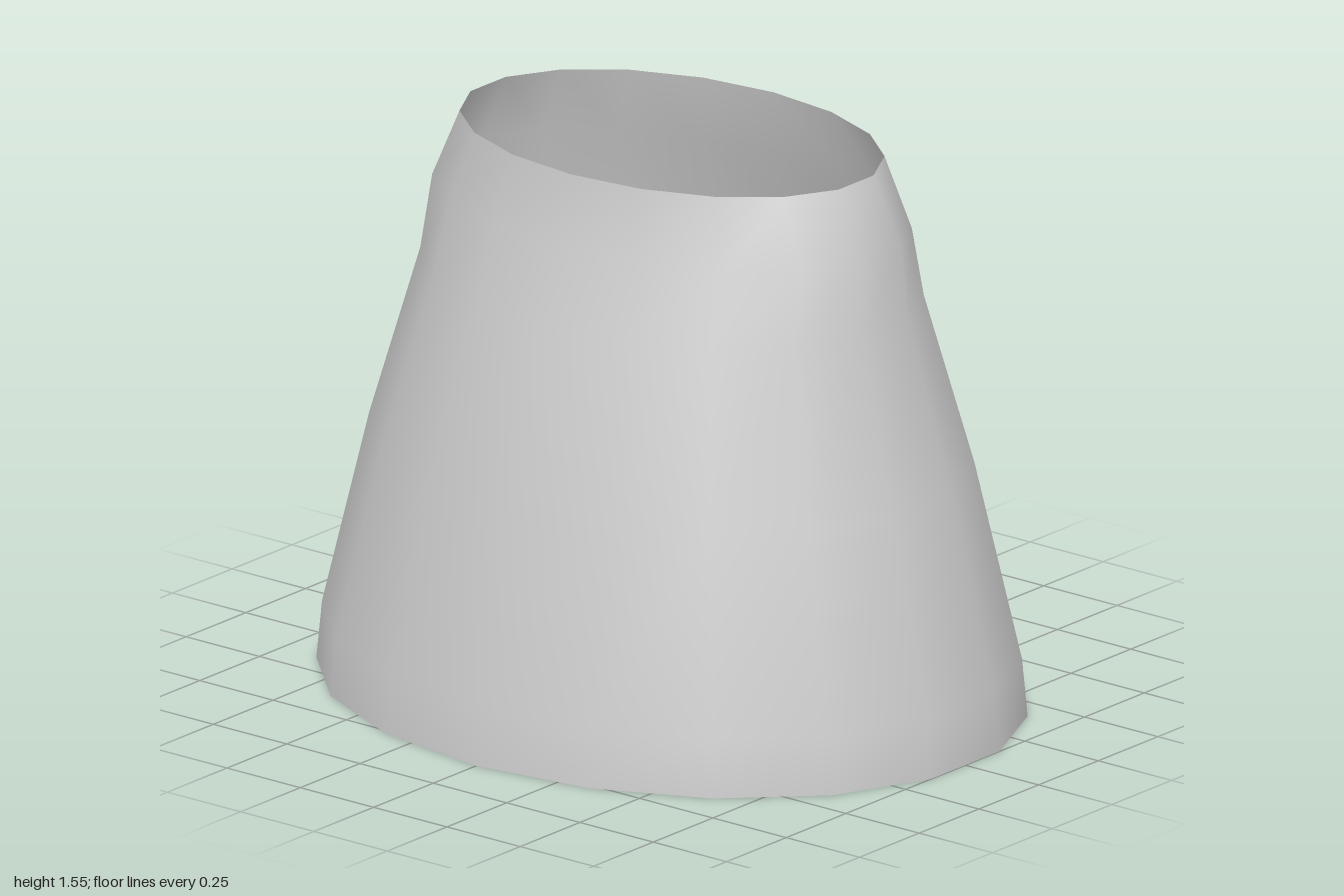
import * as THREE from 'three';
import { mergeVertices } from 'three/addons/utils/BufferGeometryUtils.js';

// Oval rings from the top down: height, half width, half depth
const RINGS = [
  [1.55, 0.637, 0.425],
  [1.36, 0.727, 0.463],
  [1.165, 0.736, 0.543],
  [0.7, 0.868, 0.688],
  [0.16, 1.0, 0.805],
  [0, 1.015, 0.82],
];
const SIDES = 18;

export function createModel() {
  const group = new THREE.Group();
  group.name = 'flaredSleeve';

  const grey = new THREE.MeshStandardMaterial({ color: 0xcccccc, side: THREE.DoubleSide });
  grey.name = 'light grey';

  // Open tube whose rows are moved to the oval rings
  const tube = new THREE.CylinderGeometry(1, 1, 1, SIDES, RINGS.length - 1, true);
  const pos = tube.attributes.position;
  for (let i = 0; i < pos.count; i++) {
    const [y, rx, rz] = RINGS[Math.floor(i / (SIDES + 1))];
    pos.setXYZ(i, pos.getX(i) * rx, y, pos.getZ(i) * rz);
  }

  // Weld the seam so the shading is smooth all the way round
  tube.deleteAttribute('uv');
  tube.deleteAttribute('normal');
  const shell = mergeVertices(tube, 1e-4);
  shell.computeVertexNormals();

  const mesh = new THREE.Mesh(shell, grey);
  mesh.name = 'shell';
  group.add(mesh);
  return group;
}
